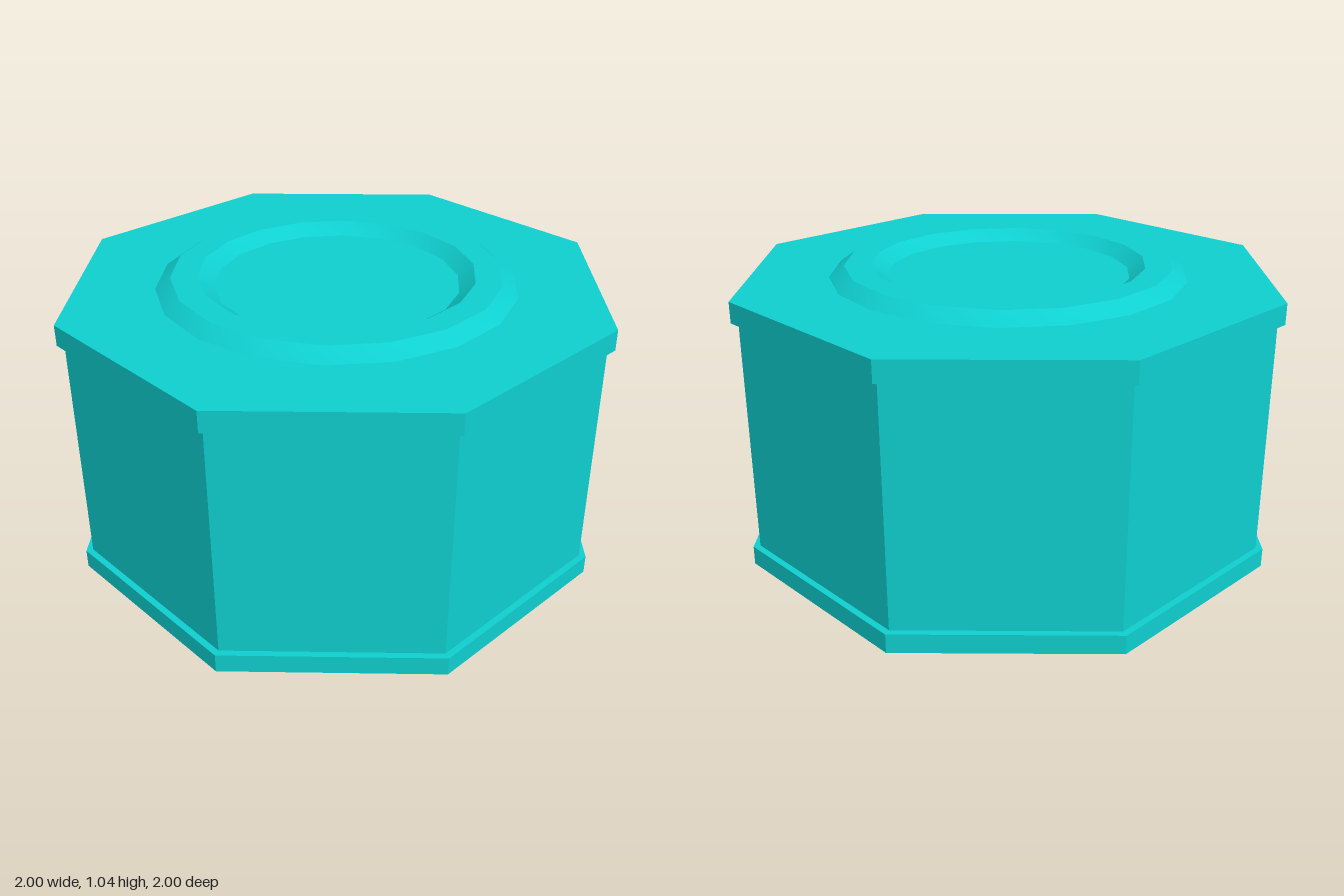
import * as THREE from 'three';
import { toCreasedNormals } from 'three/addons/utils/BufferGeometryUtils.js';

export function createModel() {
  const group = new THREE.Group();
  const material = new THREE.MeshStandardMaterial({ color: 0x0fd0d0 });

  // Octagonal slab with corners on the x and z axes
  function octagon(name, radius, bottom, top) {
    const geometry = new THREE.CylinderGeometry(radius, radius, top - bottom, 8);
    geometry.translate(0, (top + bottom) / 2, 0);
    const mesh = new THREE.Mesh(toCreasedNormals(geometry, 0.5), material);
    mesh.name = name;
    group.add(mesh);
  }
  octagon('bottomRim', 1, 0, 0.07);
  octagon('body', 0.975, 0.07, 0.925);
  octagon('topRim', 1, 0.925, 1);

  // Low raised ring on the lid: sloped outside, flat top, sloped inside
  const profile = [[0.645, 1], [0.59, 1.04], [0.495, 1.04], [0.44, 1]]
    .map(([r, y]) => new THREE.Vector2(r, y));
  const ringGeometry = toCreasedNormals(new THREE.LatheGeometry(profile, 18), 0.5);
  const ring = new THREE.Mesh(ringGeometry, material);
  ring.name = 'lidRing';
  group.add(ring);

  return group;
}
